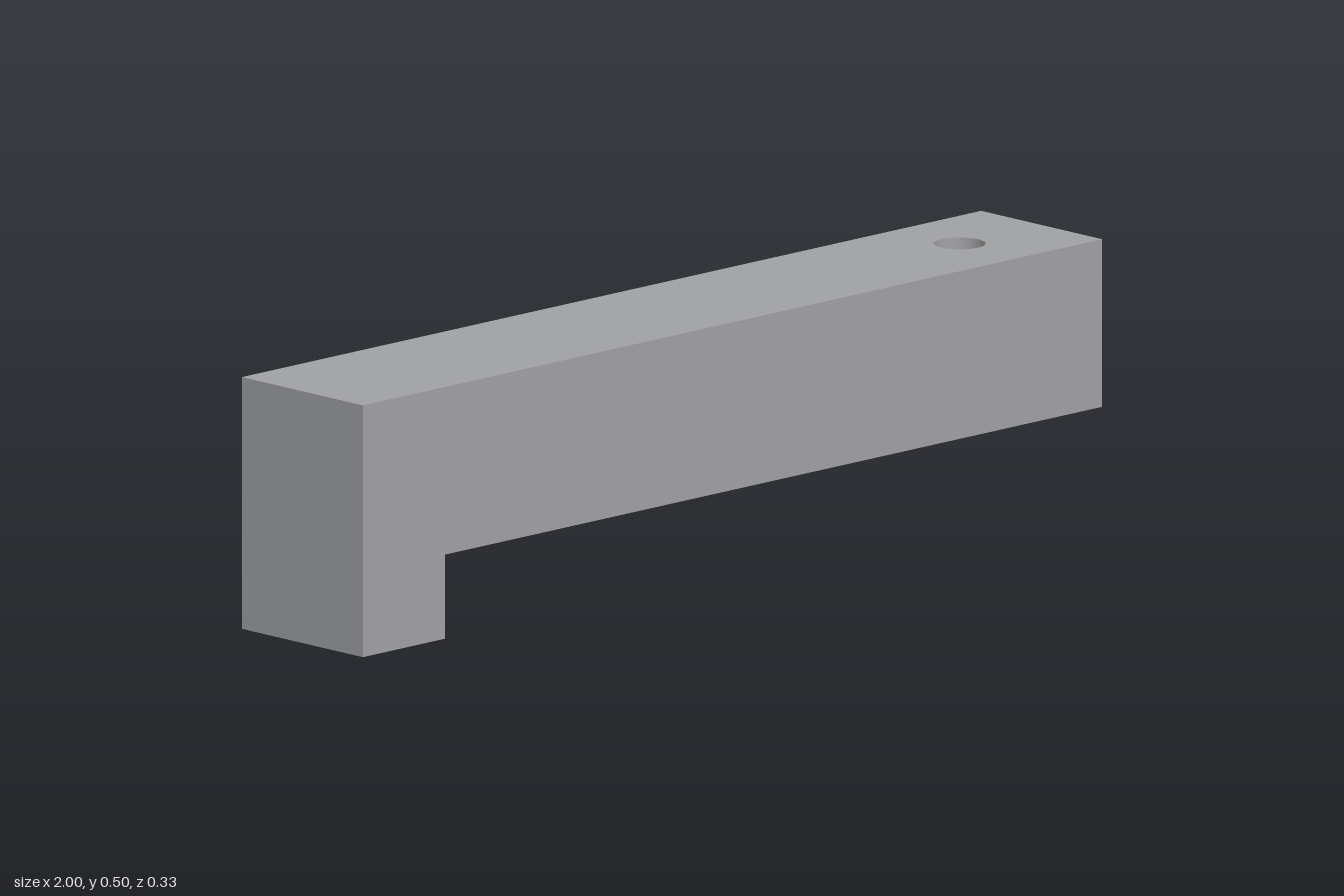
import * as THREE from 'three';

const L = 1, D = 0.167, TOP = 0.5, STEP = 0.167, FOOT = -0.778;
const R = 0.05, HOLE_X = 0.778, FOOT_HOLE_X = -0.889, BLIND = 0.333;

export function createModel() {
  const group = new THREE.Group();
  const grey = new THREE.MeshStandardMaterial({ color: 0xa0a1a3, side: THREE.DoubleSide });
  grey.name = 'grey';

  const add = (name, geometry, x = 0, y = 0, z = 0) => {
    const mesh = new THREE.Mesh(geometry, grey);
    mesh.name = name;
    mesh.position.set(x, y, z);
    group.add(mesh);
  };

  // Horizontal face from x0 to x1, with a round hole if holeX is given
  const level = (name, x0, x1, y, facing, holeX) => {
    const s = new THREE.Shape([[x0, -D], [x1, -D], [x1, D], [x0, D]].map(p => new THREE.Vector2(...p)));
    if (holeX !== undefined) s.holes.push(new THREE.Path().absarc(holeX, 0, R, 0, Math.PI * 2, true));
    add(name, new THREE.ShapeGeometry(s, 24).rotateX(-facing * Math.PI / 2), 0, y);
  };

  // Upright face across the width, facing +x or -x
  const end = (name, x, y0, y1, facing) =>
    add(name, new THREE.PlaneGeometry(2 * D, y1 - y0).rotateY(facing * Math.PI / 2), x, (y0 + y1) / 2);

  // Inward-facing wall of a round hole
  const bore = (name, x, y0, y1) =>
    add(name, new THREE.LatheGeometry([new THREE.Vector2(R, y1), new THREE.Vector2(R, y0)], 48), x);

  // L-shaped front and back faces
  const profile = new THREE.Shape([[-L, 0], [FOOT, 0], [FOOT, STEP], [L, STEP], [L, TOP], [-L, TOP]]
    .map(p => new THREE.Vector2(...p)));
  add('frontFace', new THREE.ShapeGeometry(profile), 0, 0, D);
  const back = new THREE.ShapeGeometry(profile);
  back.setIndex([...back.index.array].reverse());
  back.computeVertexNormals();
  add('backFace', back, 0, 0, -D);

  // Top, undersides and ends
  level('beamTop', -L, L, TOP, 1, HOLE_X);
  level('beamUnderside', FOOT, L, STEP, -1, HOLE_X);
  level('footUnderside', -L, FOOT, 0, -1, FOOT_HOLE_X);
  end('beamEnd', L, STEP, TOP, 1);
  end('footInnerFace', FOOT, 0, STEP, 1);
  end('footEnd', -L, 0, TOP, -1);

  // Through hole in the beam and blind hole in the foot
  bore('throughHole', HOLE_X, STEP, TOP);
  bore('footHole', FOOT_HOLE_X, 0, BLIND);
  add('footHoleEnd', new THREE.CircleGeometry(R, 48).rotateX(Math.PI / 2), FOOT_HOLE_X, BLIND);

  return group;
}
